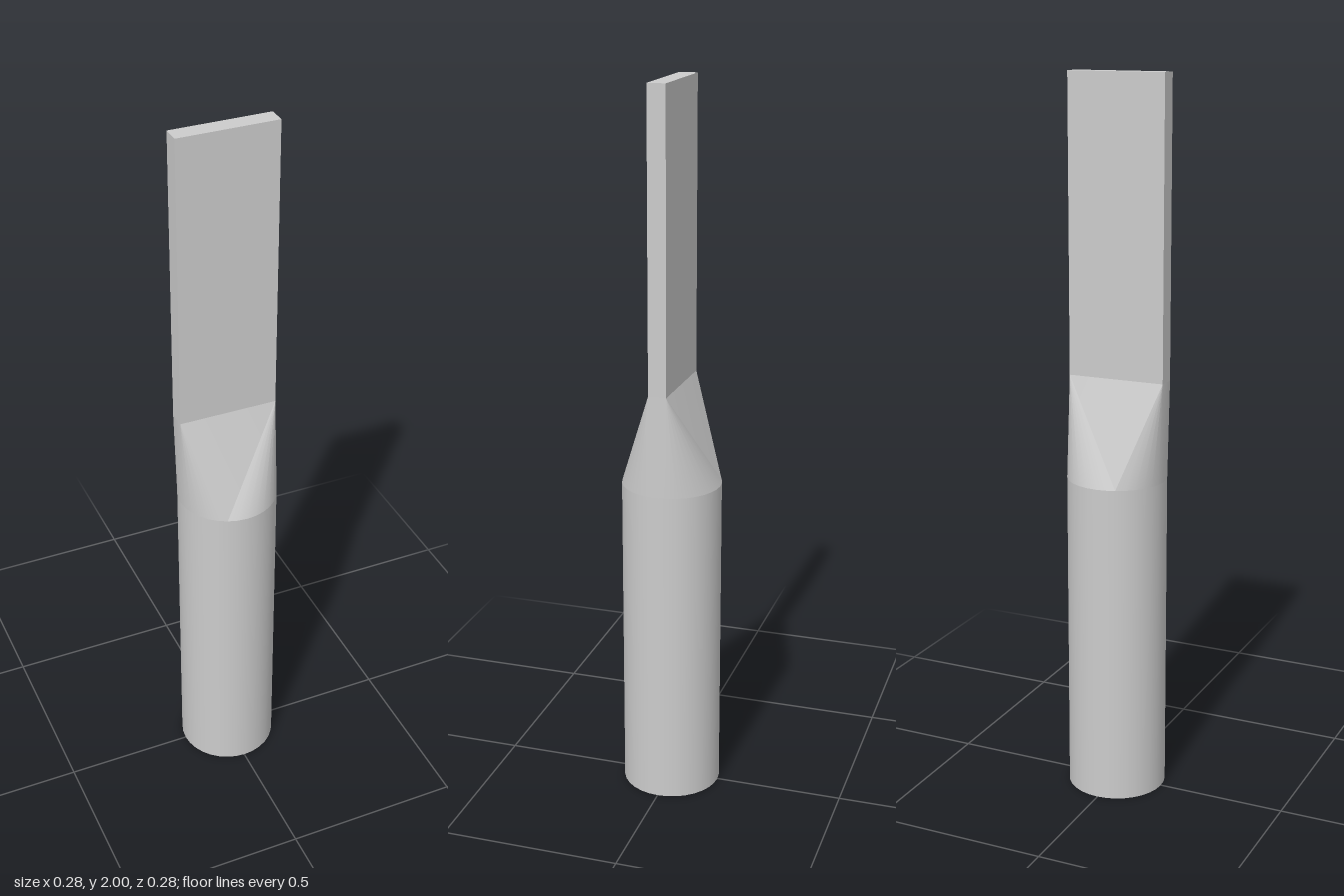
import * as THREE from 'three';
import { toCreasedNormals } from 'three/addons/utils/BufferGeometryUtils.js';

const SIDES = 32;
const RADIUS = 0.138;
const SHAFT_X = 0.002;
const SHAFT_TOP = 0.91;
const BLADE = { left: -0.143, right: 0.133, halfDepth: 0.025, bottom: 1.19, top: 2 };

// Transition from the round shaft to the four corners of the blade
function transitionGeometry() {
  const { left, right, halfDepth: d, bottom } = BLADE;
  const corners = [[right, bottom, d], [left, bottom, d], [left, bottom, -d], [right, bottom, -d]];
  const fanEnds = [10, 16, 22, 32]; // rim index where each corner's fan stops
  const rim = (i) => {
    const a = (i / SIDES) * Math.PI * 2;
    return [SHAFT_X + RADIUS * Math.cos(a), SHAFT_TOP, RADIUS * Math.sin(a)];
  };
  const positions = [];
  let i = 0;
  corners.forEach((corner, k) => {
    for (; i < fanEnds[k]; i++) positions.push(...rim(i), ...corner, ...rim(i + 1));
    // flat triangle leading over to the next corner
    positions.push(...rim(i), ...corner, ...corners[(k + 1) % 4]);
  });
  const geometry = new THREE.BufferGeometry();
  geometry.setAttribute('position', new THREE.Float32BufferAttribute(positions, 3));
  return toCreasedNormals(geometry, 0.3);
}

export function createModel() {
  const group = new THREE.Group();
  group.name = 'flatBladedRod';
  const material = new THREE.MeshStandardMaterial({ color: 0xcccccc });
  const add = (name, geometry) => {
    const mesh = new THREE.Mesh(geometry, material);
    mesh.name = name;
    group.add(mesh);
    return mesh;
  };

  // Round shaft, turned so its rim matches the transition
  const shaft = new THREE.CylinderGeometry(RADIUS, RADIUS, SHAFT_TOP, SIDES, 1, true);
  add('shaft', shaft).position.set(SHAFT_X, SHAFT_TOP / 2, 0);

  // Flat end under the shaft
  const base = add('shaftEnd', new THREE.CircleGeometry(RADIUS, SIDES));
  base.rotation.x = Math.PI / 2;
  base.position.x = SHAFT_X;

  add('transition', transitionGeometry());

  // Flat blade
  const { left, right, halfDepth, bottom, top } = BLADE;
  const blade = add('blade', new THREE.BoxGeometry(right - left, top - bottom, halfDepth * 2));
  blade.position.set((left + right) / 2, (bottom + top) / 2, 0);

  return group;
}
